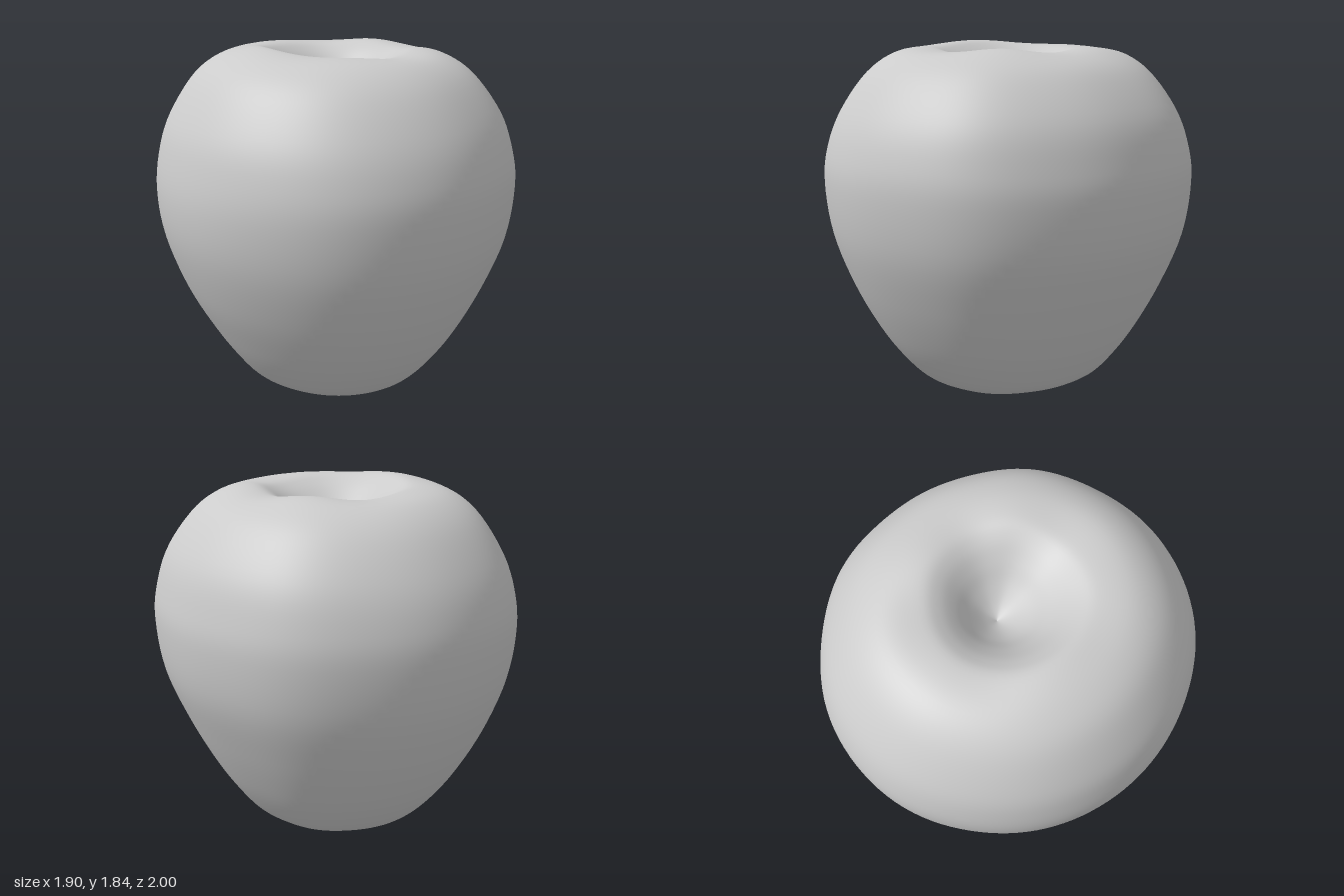
import * as THREE from 'three';

// Half profiles [radius, y] from the top hollow to the base hollow.
// All three share the same number of points so they can be blended by angle.
const LEFT = [[0, 1.49], [0.07, 1.54], [0.15, 1.615], [0.23, 1.7], [0.32, 1.775], [0.42, 1.812], [0.56, 1.79],
  [0.71, 1.7], [0.86, 1.5], [0.925, 1.3], [0.945, 1.12], [0.91, 0.85], [0.8, 0.57], [0.68, 0.33],
  [0.58, 0.17], [0.49, 0.06], [0.4, 0.018], [0.32, 0.032], [0.24, 0.078], [0.14, 0.125], [0, 0.145]];
const RIGHT = [[0, 1.49], [0.07, 1.54], [0.15, 1.615], [0.23, 1.71], [0.32, 1.8], [0.41, 1.838], [0.58, 1.795],
  [0.73, 1.69], [0.865, 1.48], [0.925, 1.3], [0.95, 1.09], [0.92, 0.85], [0.82, 0.57], [0.69, 0.33],
  [0.58, 0.165], [0.49, 0.06], [0.39, 0.012], [0.31, 0.03], [0.24, 0.078], [0.14, 0.125], [0, 0.145]];
const FRONT = [[0, 1.49], [0.07, 1.54], [0.15, 1.615], [0.23, 1.7], [0.32, 1.77], [0.42, 1.807], [0.6, 1.793],
  [0.76, 1.69], [0.9, 1.5], [0.975, 1.32], [1, 1.13], [0.965, 0.85], [0.865, 0.57], [0.74, 0.33],
  [0.62, 0.16], [0.51, 0.05], [0.4, 0.005], [0.32, 0.028], [0.24, 0.078], [0.14, 0.125], [0, 0.145]];

const ROWS = 100, COLS = 120;

function sampleProfile(points) {
  const curve = new THREE.SplineCurve(points.map(([r, y]) => new THREE.Vector2(r, y)));
  return Array.from({ length: ROWS + 1 }, (_, i) => curve.getPoint(i / ROWS));
}

function bodyGeometry() {
  const left = sampleProfile(LEFT), right = sampleProfile(RIGHT), front = sampleProfile(FRONT);
  const positions = [], indices = [];
  for (let i = 0; i <= ROWS; i++) {
    for (let j = 0; j < COLS; j++) {
      const a = (j / COLS) * Math.PI * 2;
      const c = Math.cos(a), s = Math.sin(a);
      const side = c > 0 ? left[i] : right[i], f = front[i];
      // Five-fold lobes, fading towards the model's right
      const lobe = Math.cos(5 * (a - Math.PI)) * (0.6 + 0.4 * c);

      // Elliptical blend between the profiles
      const rx = Math.max(side.x, 1e-4), rz = Math.max(f.x, 1e-4);
      let r = 1 / Math.hypot(c / rx, s / rz);
      r *= 1 + 0.015 * lobe * Math.sin(2 * a) ** 2;
      let y = side.y * c * c + f.y * s * s;
      y += 0.012 * lobe * Math.exp(-(((r - 0.42) / 0.16) ** 2)) * THREE.MathUtils.smoothstep(y, 1.4, 1.75);

      // The bottom of the top hollow sits slightly off centre
      const shift = y > 1 ? 0.04 * (1 - THREE.MathUtils.smoothstep(r, 0, 0.4)) : 0;
      positions.push(r * c + shift, y, r * s - shift);

      if (i < ROWS) {
        const p = i * COLS + j, q = i * COLS + (j + 1) % COLS;
        indices.push(p, q, p + COLS, q, q + COLS, p + COLS);
      }
    }
  }
  const geometry = new THREE.BufferGeometry();
  geometry.setAttribute('position', new THREE.Float32BufferAttribute(positions, 3));
  geometry.setIndex(indices);
  geometry.computeVertexNormals();
  return geometry;
}

export function createModel() {
  const group = new THREE.Group();
  group.name = 'apple';
  const body = new THREE.Mesh(bodyGeometry(), new THREE.MeshStandardMaterial({ color: 0xcccccc }));
  body.name = 'appleBody';
  group.add(body);
  return group;
}
